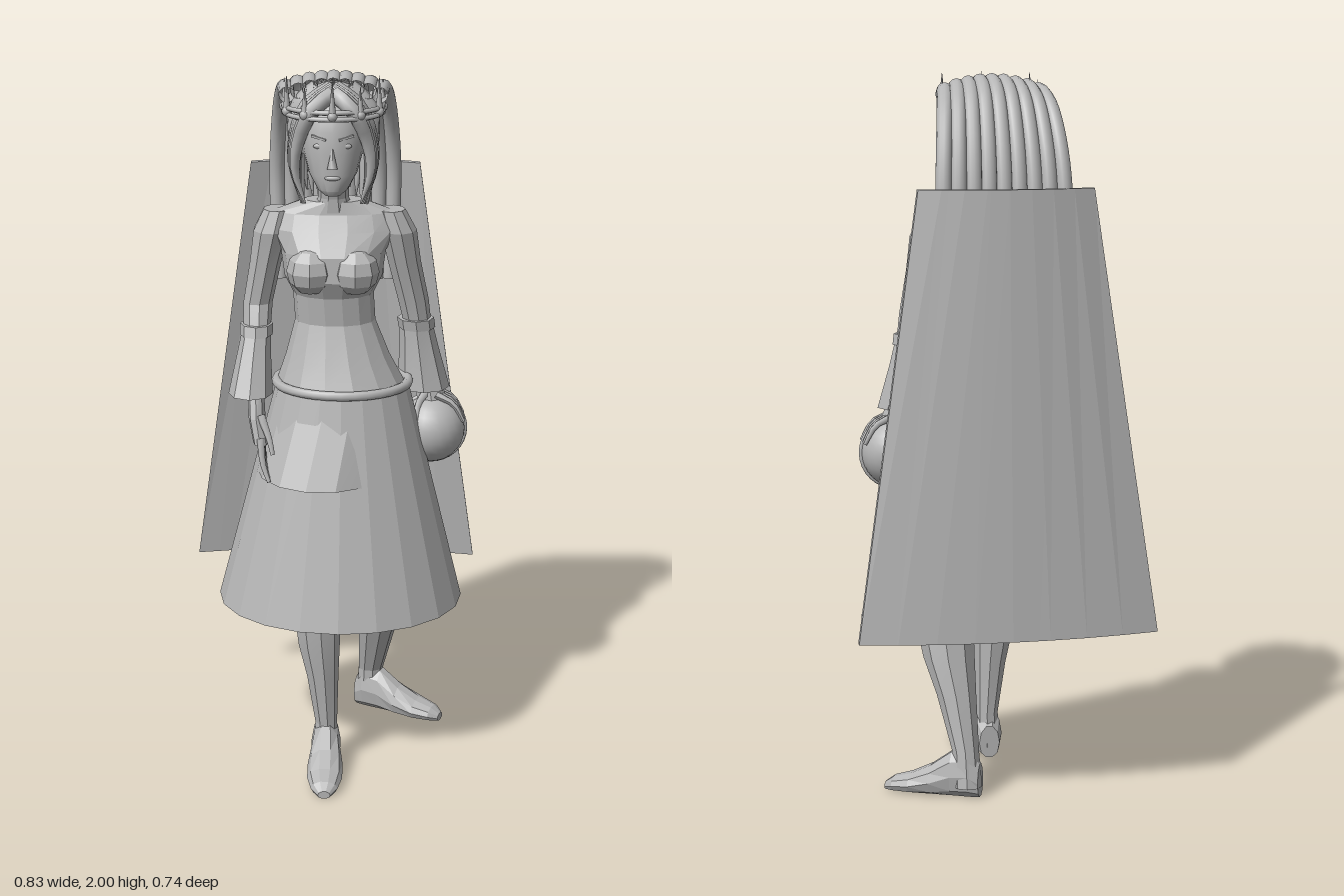
import * as THREE from 'three';
import { toCreasedNormals } from 'three/addons/utils/BufferGeometryUtils.js';

const stone = new THREE.MeshStandardMaterial({ color: 0xb6b6b6, side: THREE.DoubleSide });
stone.name = 'stone grey';
const V = (x, y, z) => new THREE.Vector3(x, y, z);

function add(parent, name, geo) {
  const mesh = new THREE.Mesh(geo, stone);
  mesh.name = name;
  parent.add(mesh);
  return mesh;
}

// Skin of horizontal rings, listed bottom to top as [x, y, z, radiusX, radiusZ]
function loft(rings, sides = 10, crease = 0.15, capped = true) {
  const pos = [], idx = [];
  for (const [x, y, z, rx, rz] of rings)
    for (let j = 0; j < sides; j++) {
      const a = (j / sides) * Math.PI * 2;
      pos.push(x + rx * Math.cos(a), y, z + rz * Math.sin(a));
    }
  for (let i = 0; i < rings.length - 1; i++)
    for (let j = 0; j < sides; j++) {
      const a = i * sides + j, b = i * sides + ((j + 1) % sides);
      idx.push(a, a + sides, b, b, a + sides, b + sides);
    }
  if (capped) {
    const top = (rings.length - 1) * sides;
    for (let j = 1; j < sides - 1; j++) idx.push(0, j, j + 1, top, top + j + 1, top + j);
  }
  const geo = new THREE.BufferGeometry();
  geo.setAttribute('position', new THREE.Float32BufferAttribute(pos, 3));
  geo.setIndex(idx);
  return toCreasedNormals(geo, crease);
}

// Tube along a smooth curve whose radius follows size(t)
function strand(points, radius, size = t => 1 - 0.9 * t * t, segs = 10, sides = 7) {
  const curve = new THREE.CatmullRomCurve3(points);
  const geo = new THREE.TubeGeometry(curve, segs, radius, sides);
  const p = geo.attributes.position, v = V(0, 0, 0);
  for (let k = 0; k < p.count; k++) {
    const t = Math.floor(k / (sides + 1)) / segs, c = curve.getPointAt(t);
    v.fromBufferAttribute(p, k).sub(c).multiplyScalar(size(t)).add(c);
    p.setXYZ(k, v.x, v.y, v.z);
  }
  geo.computeVertexNormals();
  return geo;
}

function ball(parent, name, x, y, z, rx, ry, rz, w = 12, h = 8) {
  const m = add(parent, name, new THREE.SphereGeometry(1, w, h));
  m.scale.set(rx, ry, rz);
  m.position.set(x, y, z);
  return m;
}

export function createModel() {
  const g = new THREE.Group();
  g.name = 'queenFigure';

  // Skirt, shorter overskirt and belt
  add(g, 'skirt', loft([[0.02, 0.47, -0.008, 0.35, 0.295], [0.025, 1.12, -0.015, 0.185, 0.155]], 20, 0.15, false));
  add(g, 'overskirt', loft([[-0.03, 0.87, 0.035, 0.185, 0.195], [0.015, 1.08, -0.01, 0.17, 0.15]], 14, 0.15, false));
  const belt = add(g, 'belt', new THREE.TorusGeometry(0.18, 0.014, 8, 32));
  belt.rotation.x = Math.PI / 2;
  belt.scale.set(1.03, 0.85, 1);
  belt.position.set(0.025, 1.12, -0.015);

  // Bodice, bust and neck
  add(g, 'bodice', loft([
    [0.02, 1.12, -0.015, 0.18, 0.15], [0.012, 1.2, -0.015, 0.145, 0.115], [0.005, 1.3, -0.015, 0.112, 0.083],
    [0, 1.38, -0.01, 0.112, 0.085], [0, 1.43, 0, 0.135, 0.1], [0, 1.5, -0.01, 0.145, 0.105],
    [0, 1.56, -0.03, 0.18, 0.085], [0, 1.605, -0.035, 0.17, 0.065], [0, 1.64, -0.025, 0.08, 0.05]], 14));
  for (const s of [-1, 1])
    add(g, 'bust', toCreasedNormals(new THREE.SphereGeometry(0.066, 8, 6), 0.1)).position.set(s * 0.062, 1.455, 0.055);
  add(g, 'neck', loft([[0, 1.61, -0.02, 0.055, 0.05], [0, 1.65, -0.01, 0.042, 0.042], [0, 1.74, 0.01, 0.042, 0.045]], 10));

  // Arms with flared cuffs, from cuff to shoulder
  const rightArm = [[-0.215, 1.12, 0.04, 0.03, 0.03], [-0.215, 1.24, 0, 0.037, 0.04], [-0.213, 1.34, -0.045, 0.042, 0.045],
    [-0.19, 1.46, -0.04, 0.045, 0.05], [-0.172, 1.55, -0.035, 0.052, 0.06], [-0.155, 1.61, -0.035, 0.04, 0.045]];
  const leftArm = [[0.265, 1.1, -0.09, 0.03, 0.03], [0.24, 1.24, -0.09, 0.038, 0.042], [0.222, 1.34, -0.08, 0.044, 0.048],
    [0.195, 1.46, -0.055, 0.047, 0.053], [0.178, 1.55, -0.04, 0.052, 0.06], [0.158, 1.61, -0.035, 0.04, 0.045]];
  add(g, 'rightArm', loft(rightArm, 9));
  add(g, 'leftArm', loft(leftArm, 9));
  add(g, 'rightCuff', loft([[-0.23, 1.1, 0.05, 0.062, 0.068], [-0.222, 1.2, 0.015, 0.048, 0.052], [-0.215, 1.27, -0.01, 0.04, 0.044]], 8, 0.15, false));
  add(g, 'leftCuff', loft([[0.255, 1.08, -0.088, 0.074, 0.068], [0.24, 1.2, -0.09, 0.055, 0.054], [0.23, 1.28, -0.085, 0.045, 0.048]], 8, 0.15, false));
  add(g, 'rightCuffBand', loft([[-0.216, 1.255, -0.005, 0.046, 0.05], [-0.215, 1.285, -0.015, 0.046, 0.05]], 8));
  add(g, 'leftCuffBand', loft([[0.234, 1.255, -0.088, 0.052, 0.054], [0.23, 1.285, -0.084, 0.052, 0.054]], 8));

  // Right hand hanging, left hand resting on the orb
  add(g, 'rightPalm', loft([[-0.2, 0.97, 0.095, 0.022, 0.04], [-0.212, 1.04, 0.075, 0.024, 0.038], [-0.216, 1.13, 0.045, 0.022, 0.024]], 8));
  add(g, 'leftPalm', loft([[0.278, 1.045, -0.09, 0.045, 0.04], [0.272, 1.08, -0.09, 0.036, 0.032], [0.265, 1.13, -0.09, 0.026, 0.026]], 8));
  for (let i = 0; i < 4; i++) {
    const z = (i - 1.5) * 0.018;
    add(g, 'rightFinger', strand([V(-0.2, 0.99, 0.095 + z), V(-0.192, 0.92, 0.118 + z), V(-0.175, 0.865 + Math.abs(z) * 0.4, 0.135 + z)], 0.011, t => 1 - 0.5 * t, 5, 6));
    add(g, 'leftFinger', strand([V(0.29, 1.06, -0.09 + z), V(0.34, 1.035, -0.09 + z * 1.3), V(0.37, 0.985, -0.09 + z * 1.5)], 0.011, t => 1 - 0.5 * t, 5, 6));
  }
  add(g, 'rightThumb', strand([V(-0.2, 1.05, 0.1), V(-0.175, 0.99, 0.13), V(-0.165, 0.95, 0.145)], 0.012, t => 1 - 0.5 * t, 5, 6));
  add(g, 'leftThumb', strand([V(0.265, 1.07, -0.07), V(0.24, 1.04, -0.04), V(0.235, 1.0, -0.01)], 0.012, t => 1 - 0.5 * t, 5, 6));

  // Orb with its hoop
  ball(g, 'orb', 0.277, 0.955, -0.085, 0.098, 0.098, 0.098, 24, 16);
  add(g, 'orbHoop', new THREE.TorusGeometry(0.098, 0.007, 8, 32)).position.set(0.277, 0.955, -0.085);

  // Legs, one stepping forward and one back
  add(g, 'rightLeg', loft([[-0.018, 0.03, 0.135, 0.036, 0.045], [-0.018, 0.13, 0.135, 0.032, 0.037], [-0.028, 0.28, 0.14, 0.046, 0.048],
    [-0.038, 0.38, 0.145, 0.06, 0.055], [-0.045, 0.48, 0.145, 0.066, 0.058], [-0.06, 0.75, 0.08, 0.085, 0.08], [-0.06, 1.05, 0, 0.095, 0.095]], 9));
  add(g, 'leftLeg', loft([[0.105, 0.03, -0.24, 0.042, 0.042], [0.108, 0.13, -0.23, 0.038, 0.036], [0.125, 0.28, -0.18, 0.056, 0.055],
    [0.14, 0.38, -0.145, 0.073, 0.068], [0.148, 0.48, -0.115, 0.083, 0.073], [0.125, 0.75, -0.06, 0.088, 0.085], [0.1, 1.05, -0.02, 0.095, 0.095]], 9));

  // Feet: rings run from heel to toe, then are laid down
  const shape = [[0, 0.052, 0.03], [0.03, 0.075, 0.042], [0.08, 0.07, 0.042], [0.14, 0.046, 0.05], [0.2, 0.03, 0.05], [0.25, 0.022, 0.038], [0.275, 0.012, 0.018]];
  const foot = (name, x, z, turn) => {
    const geo = loft(shape.map(([d, h, w]) => [0, d, -h * 0.85, w, h]), 10);
    geo.rotateX(Math.PI / 2);
    const p = geo.attributes.position;
    for (let k = 0; k < p.count; k++) p.setY(k, Math.max(p.getY(k), 0));
    geo.computeVertexNormals();
    const m = add(g, name, geo);
    m.position.set(x, 0, z);
    m.rotation.y = turn;
  };
  foot('rightFoot', -0.018, 0.092, 0);
  foot('leftFoot', 0.07, -0.25, 1.13);

  // Head and face
  const head = new THREE.Group();
  head.name = 'head';
  g.add(head);
  add(head, 'face', loft([[0, 1.675, 0.075, 0.022, 0.025], [0, 1.69, 0.062, 0.042, 0.048], [0, 1.73, 0.04, 0.066, 0.072], [0, 1.79, 0.02, 0.083, 0.092],
    [0, 1.85, 0.01, 0.09, 0.1], [0, 1.91, 0, 0.08, 0.09], [0, 1.945, -0.01, 0.045, 0.055]], 16, 0.6));
  const nose = add(head, 'nose', new THREE.ConeGeometry(0.014, 0.062, 4));
  nose.position.set(0, 1.785, 0.115);
  nose.rotation.x = -0.2;
  ball(head, 'lips', 0, 1.727, 0.108, 0.022, 0.007, 0.008, 10, 6);
  for (const s of [-1, 1]) {
    ball(head, 'eye', s * 0.035, 1.812, 0.096, 0.017, 0.008, 0.007, 10, 6);
    const brow = add(head, 'brow', new THREE.BoxGeometry(0.042, 0.006, 0.014));
    brow.position.set(s * 0.036, 1.835, 0.098);
    brow.rotation.set(0, s * 0.35, s * 0.22);
  }

  // Bobbed hair: open cap, parted fringe and overlapping locks
  const cap = add(head, 'hairCap', new THREE.SphereGeometry(1, 24, 14, Math.PI / 2 + 0.75, Math.PI * 2 - 1.5, 0, 2.1));
  cap.scale.set(0.108, 0.125, 0.118);
  cap.position.set(0, 1.84, -0.02);
  for (const s of [-1, 1])
    for (let i = 0; i < 4; i++) {
      const k = i * 0.012;
      add(head, 'fringeLock', strand([V(s * 0.004, 1.945 + k / 4, 0.06 - k), V(s * (0.05 + k / 2), 1.915, 0.098 - k), V(s * (0.09 + k / 3), 1.83, 0.07 - k),
        V(s * (0.103 + k / 4), 1.74, 0.06 - k * 1.6), V(s * (0.075 + k / 3), 1.645 - k / 3, 0.055 - k * 1.5)], 0.023));
    }
  for (let i = 0; i < 15; i++) {
    const a = 1.45 + (i / 14) * (Math.PI * 2 - 2.9), x = Math.sin(a), z = Math.cos(a), drop = 0.018 * (i % 3);
    add(head, 'hairLock', strand([V(x * 0.04, 1.95, z * 0.04 - 0.01), V(x * 0.095, 1.9, z * 0.1 - 0.015), V(x * 0.105, 1.79, z * 0.125 - 0.02),
      V(x * 0.1, 1.7, z * 0.115 - 0.02), V(x * 0.09, 1.615 + drop, z * 0.11 - 0.02)], 0.026));
  }

  // Nine long tubular tresses fanning over the back
  for (let i = 0; i < 9; i++) {
    const u = (i - 4) / 4, lift = 0.025 * (1 - u * u);
    add(g, 'tress', strand([V(u * 0.125, 1.935 + lift, 0.02), V(u * 0.132, 1.945 + lift, -0.05), V(u * 0.145, 1.905 + lift, -0.13), V(u * 0.157, 1.81 + lift / 2, -0.195),
      V(u * 0.165, 1.68, -0.232), V(u * 0.163, 1.52, -0.235), V(u * 0.157, 1.36, -0.226)], 0.022, () => 1, 24, 12));
  }

  // Crown: twin open bands with pearls and spikes
  const arc = (t, y) => V(0.135 * Math.sin(t), y, 0.122 * Math.cos(t));
  for (const y of [1.888, 1.906])
    add(g, 'crownBand', strand(Array.from({ length: 13 }, (_, i) => arc((i - 6) * 0.29, y)), 0.007, () => 1, 32, 6));
  for (let i = -3; i <= 3; i++) {
    const p = arc(i * 0.58, 1.897);
    ball(g, 'crownPearl', p.x, p.y, p.z, 0.014, 0.014, 0.014, 10, 8);
    const tall = i % 2 ? 0.07 : 0.092;
    add(g, 'crownSpike', new THREE.ConeGeometry(0.011, tall, 6)).position.set(p.x, 1.905 + tall / 2, p.z);
  }

  // Stiff flaring cloak, bowed backwards
  const cloak = new THREE.BoxGeometry(2, 1, 1, 8, 1, 1);
  const p = cloak.attributes.position;
  for (let k = 0; k < p.count; k++) {
    const u = p.getX(k), v = p.getY(k) + 0.5, inner = p.getZ(k) > 0 ? 0.022 : 0;
    p.setXYZ(k, u * (0.415 - 0.175 * v), 0.47 + 1.22 * v, -0.37 + 0.055 * v + 0.045 * u * u + inner);
  }
  add(g, 'cloak', toCreasedNormals(cloak, 0.05));

  return g;
}
